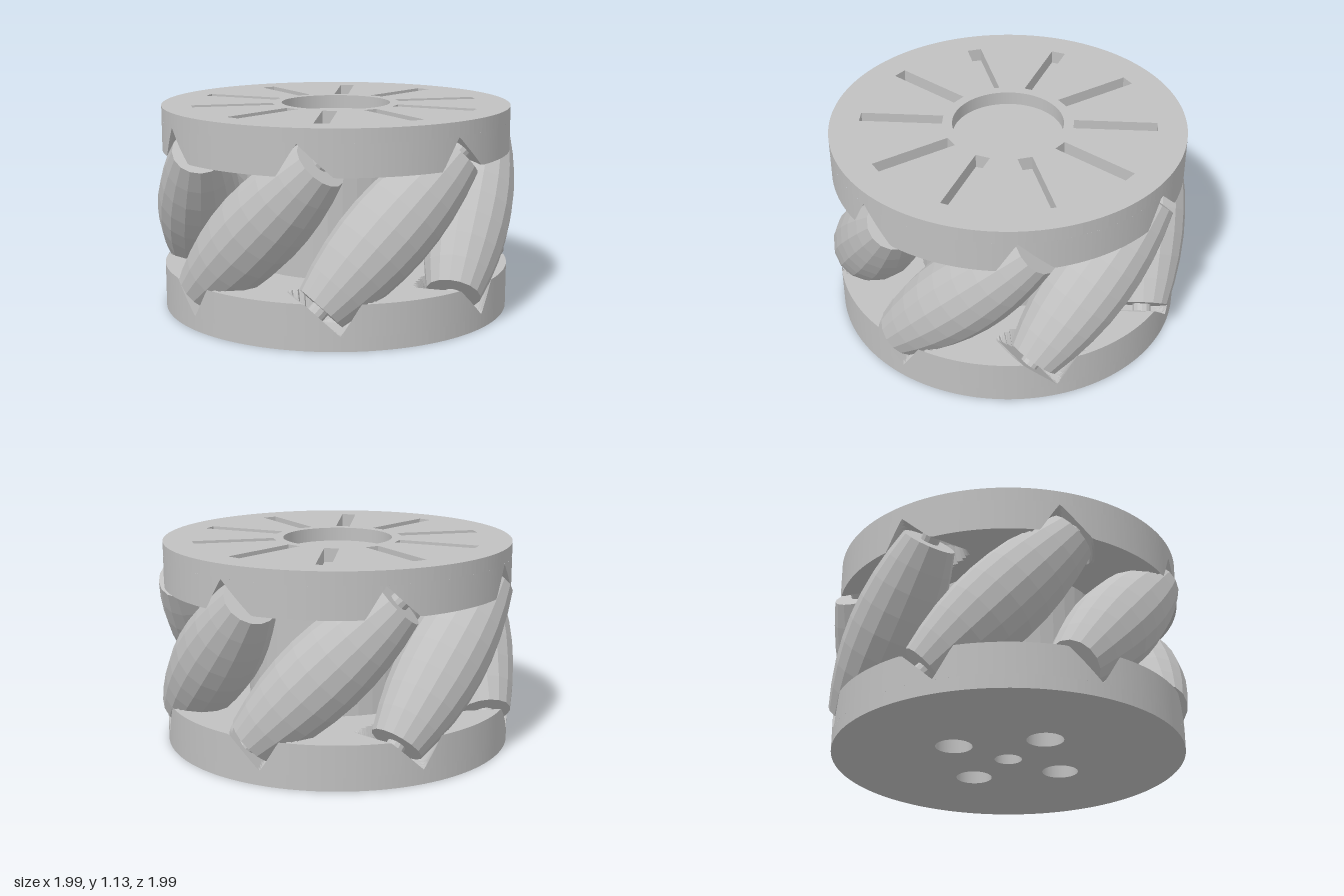
import * as THREE from 'three';

const R = 0.965;             // disc radius
const MID = 0.565;           // height of the wheel centre
const FACE = 0.32, TOP = 0.565, FLOOR = 0.49; // disc levels above the centre
const COUNT = 7, RC = 0.77;  // rollers and their axis distance
const ROLLER_HALF = 0.525, POCKET_HALF = 0.57, POCKET_R = 0.185;
const ROOT2 = Math.SQRT2;
const rollerAngle = k => (k + 0.5) * 2 * Math.PI / COUNT;

const metal = new THREE.MeshStandardMaterial({ color: 0xc0c0c0, flatShading: true });
metal.name = 'silver grey';
const metalOpen = new THREE.MeshStandardMaterial({ color: 0xc0c0c0, flatShading: true, side: THREE.DoubleSide });
metalOpen.name = 'silver grey open';

function add(parent, name, geometry, material = metal) {
  const mesh = new THREE.Mesh(geometry, material);
  mesh.name = name;
  parent.add(mesh);
  return mesh;
}

// Height of the disc's inner face, raised where a slanted roller pocket cuts in
function faceHeight(rho, theta) {
  let h = FACE;
  for (let k = 0; k < COUNT; k++) {
    const d = theta - rollerAngle(k);
    if (Math.cos(d) < 0.5) continue;
    const t = rho * Math.sin(d), n = rho * Math.cos(d) - RC;
    if (Math.abs(n) >= POCKET_R) continue;
    const side = t + ROOT2 * Math.sqrt(POCKET_R * POCKET_R - n * n);
    const cap = ROOT2 * POCKET_HALF - t;
    h = Math.max(h, Math.min(side, cap));
  }
  return Math.min(h, FLOOR - 0.004);
}

// Inner face with pockets, continued up the rim
function pocketGeometry() {
  const steps = COUNT * 48, rings = 26, pos = [], index = [];
  for (let j = 0; j <= rings + 1; j++) {
    const rho = 0.4 + (R - 0.4) * Math.min(j / rings, 1);
    for (let i = 0; i <= steps; i++) {
      const a = i / steps * 2 * Math.PI;
      const y = j > rings ? FLOOR : faceHeight(rho, a);
      pos.push(rho * Math.sin(a), y, rho * Math.cos(a));
    }
  }
  const w = steps + 1;
  for (let j = 0; j <= rings; j++) {
    for (let i = 0; i < steps; i++) {
      const a = j * w + i;
      index.push(a, a + 1, a + w, a + 1, a + w + 1, a + w);
    }
  }
  const g = new THREE.BufferGeometry();
  g.setAttribute('position', new THREE.Float32BufferAttribute(pos, 3));
  g.setIndex(index);
  g.computeVertexNormals();
  return g;
}

// Outer plate of a disc with the given holes
function plateGeometry(holes) {
  const shape = new THREE.Shape().absarc(0, 0, R, 0, 2 * Math.PI);
  shape.holes.push(...holes);
  const g = new THREE.ExtrudeGeometry(shape, { depth: TOP - FLOOR, bevelEnabled: false, curveSegments: 84 });
  return g.rotateX(-Math.PI / 2).translate(0, FLOOR, 0);
}

const roundHole = (x, y, r) => new THREE.Path().absarc(x, y, r, 0, 2 * Math.PI, true);

function slotHole(a) {
  const s = Math.sin(a), c = Math.cos(a);
  const at = (rho, w) => new THREE.Vector2(rho * s + w * c, -rho * c + w * s);
  return new THREE.Path([at(0.355, -0.04), at(0.805, -0.04), at(0.805, 0.04), at(0.355, 0.04), at(0.355, -0.04)]);
}

export function createModel() {
  const model = new THREE.Group();
  model.name = 'rollerWheel';
  const wheel = new THREE.Group();
  wheel.name = 'wheel';
  wheel.position.y = MID;
  model.add(wheel);
  const pockets = pocketGeometry();

  // Upper disc: ten radial slots and a round recess
  const upper = new THREE.Group();
  upper.name = 'upperDisc';
  const slots = [roundHole(0, 0, 0.302)];
  for (let k = 0; k < 10; k++) slots.push(slotHole(k * Math.PI / 5));
  add(upper, 'slottedPlate', plateGeometry(slots));
  add(upper, 'slotFloor', new THREE.CircleGeometry(0.85, 60).rotateX(-Math.PI / 2).translate(0, FLOOR, 0));
  add(upper, 'pocketedFace', pockets);

  // Lower disc: the same body turned over, with bolt holes and a shaft hole
  const lower = new THREE.Group();
  lower.name = 'lowerDisc';
  lower.rotation.z = Math.PI;
  const bores = [[0, 0, 0.075]];
  for (let k = 0; k < 4; k++) {
    const a = (-50 + 90 * k) * Math.PI / 180;
    bores.push([0.35 * Math.sin(a), -0.35 * Math.cos(a), 0.1]);
  }
  add(lower, 'drilledPlate', plateGeometry(bores.map(b => roundHole(...b))));
  add(lower, 'pocketedFace', pockets);
  for (const [x, y, r] of bores) {
    const depth = FLOOR - FACE;
    add(lower, 'boreWall', new THREE.CylinderGeometry(r, r, depth, 32, 1, true), metalOpen)
      .position.set(x, FACE + depth / 2, -y);
    add(lower, 'boreEnd', new THREE.CircleGeometry(r, 32).rotateX(-Math.PI / 2), metalOpen)
      .position.set(x, FACE, -y);
  }
  wheel.add(upper, lower);

  // Hub joining the discs
  add(wheel, 'hub', new THREE.CylinderGeometry(0.5, 0.5, 2 * FACE, 40));

  // Barrel rollers whose profile follows the rolling circle
  const profile = [new THREE.Vector2(0, -ROLLER_HALF)];
  for (let i = 0; i <= 8; i++) {
    const s = ROLLER_HALF * (i / 4 - 1);
    profile.push(new THREE.Vector2(1 - Math.hypot(RC, s / ROOT2), s));
  }
  profile.push(new THREE.Vector2(0, ROLLER_HALF));
  const barrel = new THREE.LatheGeometry(profile, 16);
  const pin = new THREE.CylinderGeometry(0.05, 0.05, 2 * POCKET_HALF, 12);
  for (let k = 0; k < COUNT; k++) {
    const arm = new THREE.Group();
    arm.name = 'roller' + (k + 1);
    arm.rotation.y = rollerAngle(k);
    const tilt = new THREE.Group();
    tilt.name = 'rollerAxis';
    tilt.position.z = RC;
    tilt.rotation.z = -Math.PI / 4;
    add(tilt, 'barrel', barrel);
    add(tilt, 'axlePin', pin);
    arm.add(tilt);
    wheel.add(arm);
  }
  return model;
}
